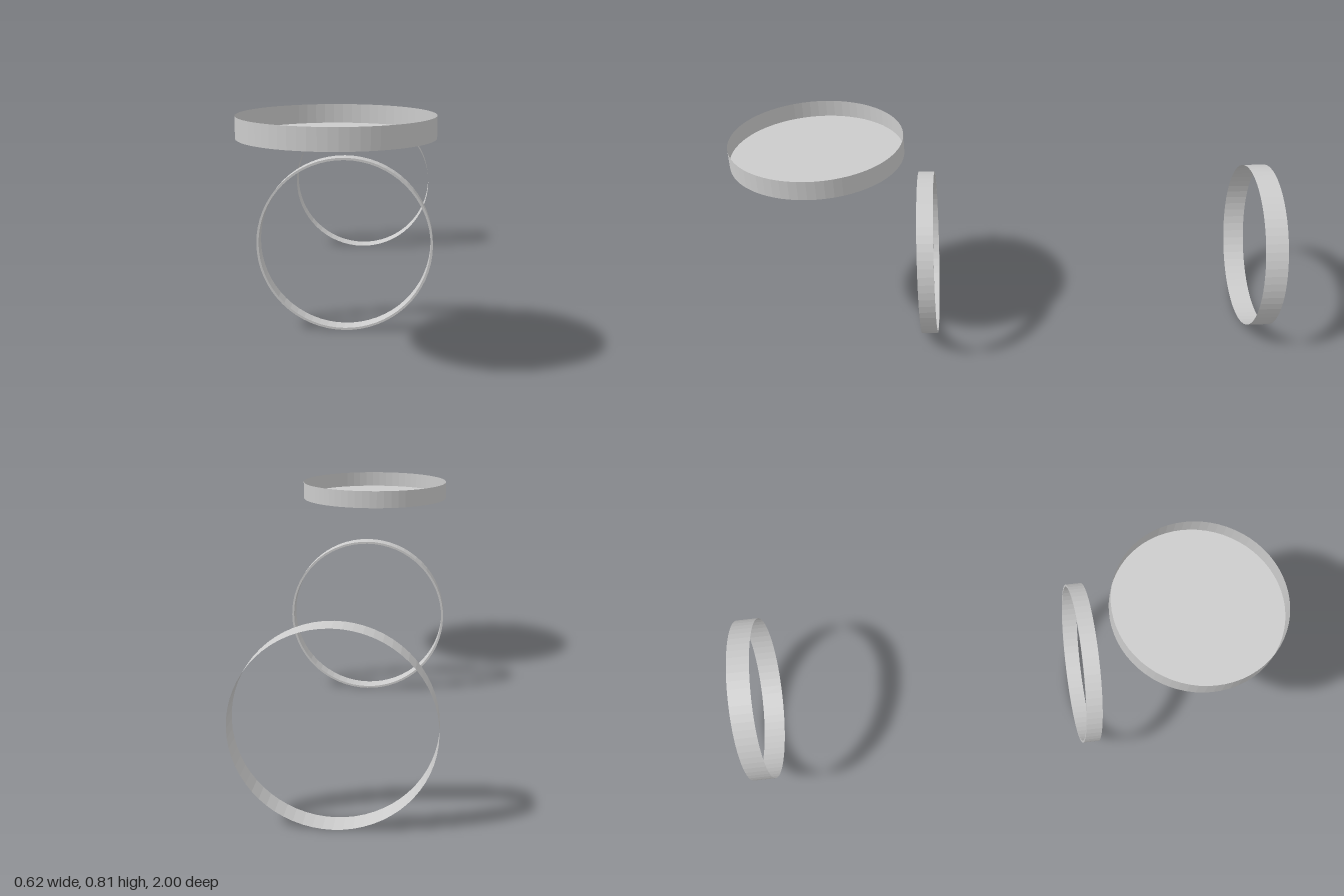
import * as THREE from 'three';

const R = 0.311, SEG = 64;
const material = new THREE.MeshStandardMaterial({ color: 0xcccccc, flatShading: true, side: THREE.DoubleSide });

function addPart(parent, name, geometry, x, y, z) {
  const mesh = new THREE.Mesh(geometry, material);
  mesh.name = name;
  mesh.position.set(x, y, z);
  parent.add(mesh);
  return mesh;
}

// thin open band around the y axis
const band = (height) => new THREE.CylinderGeometry(R, R, height, SEG, 1, true);

// closed ring with a rectangular section
function thickRing(inner, outer, height) {
  const h = height / 2;
  const profile = [[inner, -h], [outer, -h], [outer, h], [inner, h], [inner, -h]];
  return new THREE.LatheGeometry(profile.map(([r, y]) => new THREE.Vector2(r, y)), SEG);
}

export function createModel() {
  const model = new THREE.Group();
  model.name = 'ringsAndTray';

  // shallow round tray: thin wall on a flat base plate
  const tray = new THREE.Group();
  tray.name = 'tray';
  tray.position.set(0, 0.745, 0.689);
  addPart(tray, 'trayWall', band(0.063), 0, 0.0385, 0);
  addPart(tray, 'trayBase', new THREE.CylinderGeometry(R, R, 0.007, SEG), 0, 0.0035, 0);
  model.add(tray);

  // upright front ring with a little wall thickness
  addPart(model, 'frontRing', thickRing(R - 0.008, R, 0.06), 0, 0.314, 0.308).rotation.x = Math.PI / 2;

  // upright, paper-thin back ring
  addPart(model, 'backRing', band(0.083), 0, 0.314, -0.9585).rotation.x = Math.PI / 2;

  return model;
}
